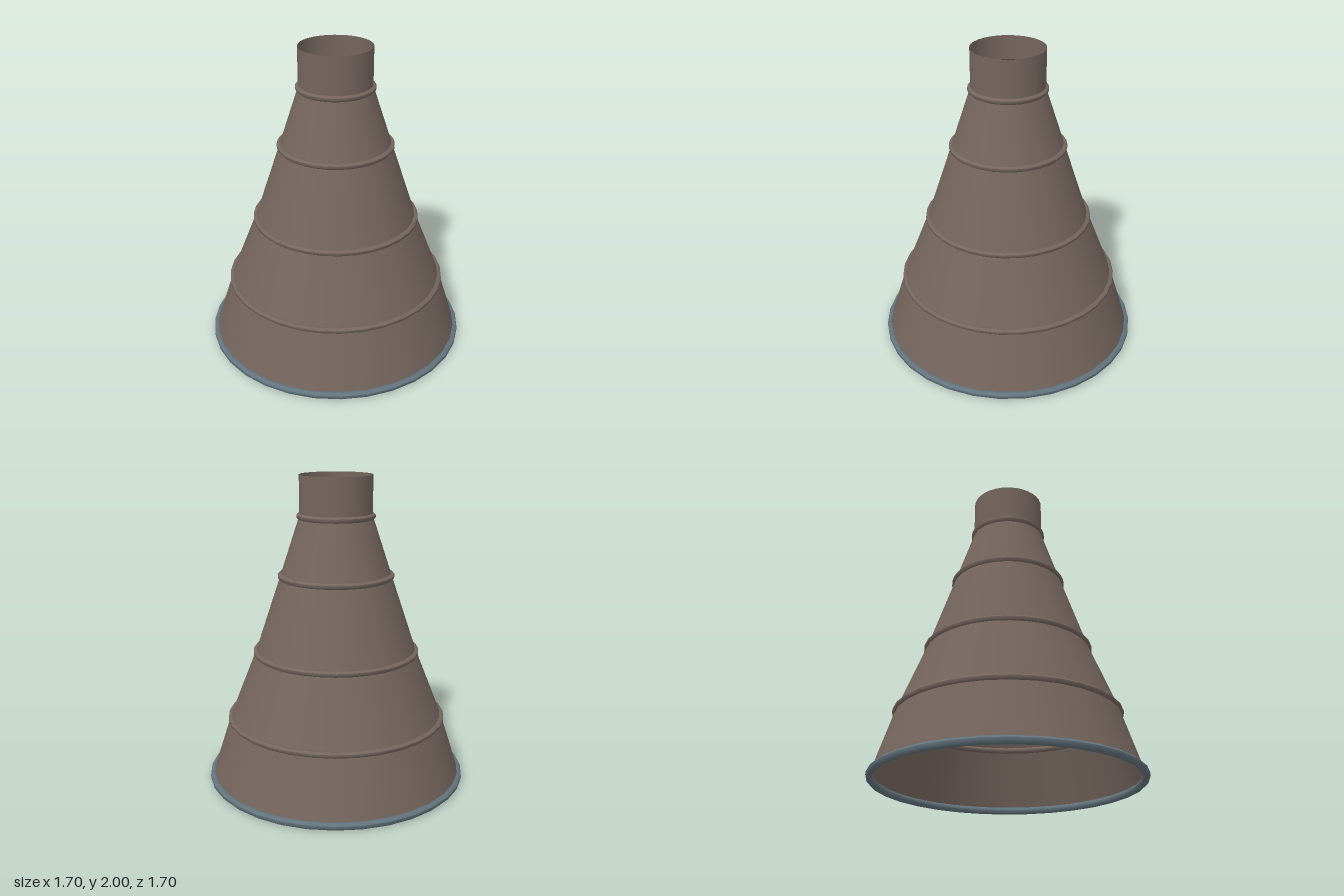
import * as THREE from 'three';

const SIDES = 32;

export function createModel() {
  const model = new THREE.Group();
  model.name = 'ribbedFunnel';

  const shellBrown = new THREE.MeshStandardMaterial({ color: 0x75665e, side: THREE.DoubleSide });
  shellBrown.name = 'shellBrown';
  const rimSteel = new THREE.MeshStandardMaterial({ color: 0x62737d });
  rimSteel.name = 'rimSteel';
  const innerBlack = new THREE.MeshStandardMaterial({ color: 0x222222, side: THREE.DoubleSide });
  innerBlack.name = 'innerBlack';

  const add = (geometry, material, name, y) => {
    const mesh = new THREE.Mesh(geometry, material);
    mesh.name = name;
    mesh.position.y = y;
    model.add(mesh);
  };

  // Hoop with an octagonal section whose flat sides face up, down, in and out
  const hoop = (radius, half) => {
    const profile = [];
    for (let i = 0; i <= 8; i++) {
      const a = (i + 0.5) * Math.PI / 4;
      const r = half / Math.cos(Math.PI / 8);
      profile.push(new THREE.Vector2(radius + r * Math.cos(a), r * Math.sin(a)));
    }
    return new THREE.LatheGeometry(profile, SIDES);
  };

  // Joints of the shell from the base up: [radius, height]
  const joints = [[0.83, 0.022], [0.702, 0.418], [0.525, 0.862], [0.358, 1.361], [0.233, 1.742], [0.233, 2]];

  // Open shell sections, the last one being the straight neck
  for (let i = 0; i < joints.length - 1; i++) {
    const [r0, y0] = joints[i];
    const [r1, y1] = joints[i + 1];
    const section = new THREE.CylinderGeometry(r1, r0, y1 - y0, SIDES, 1, true);
    add(section, shellBrown, i === 4 ? 'neck' : `shellSection${i + 1}`, (y0 + y1) / 2);
  }

  // Raised bands covering the joints
  joints.slice(1, 5).forEach(([r, y], i) => add(hoop(r, 0.018), shellBrown, `band${i + 1}`, y));

  // Base rim
  add(hoop(0.83, 0.022), rimSteel, 'baseRim', 0.022);

  // Dark disc inside the neck, with a narrow gap around it
  const disc = new THREE.CircleGeometry(0.218, SIDES).rotateX(-Math.PI / 2);
  add(disc, innerBlack, 'neckDisc', 1.85);

  return model;
}
